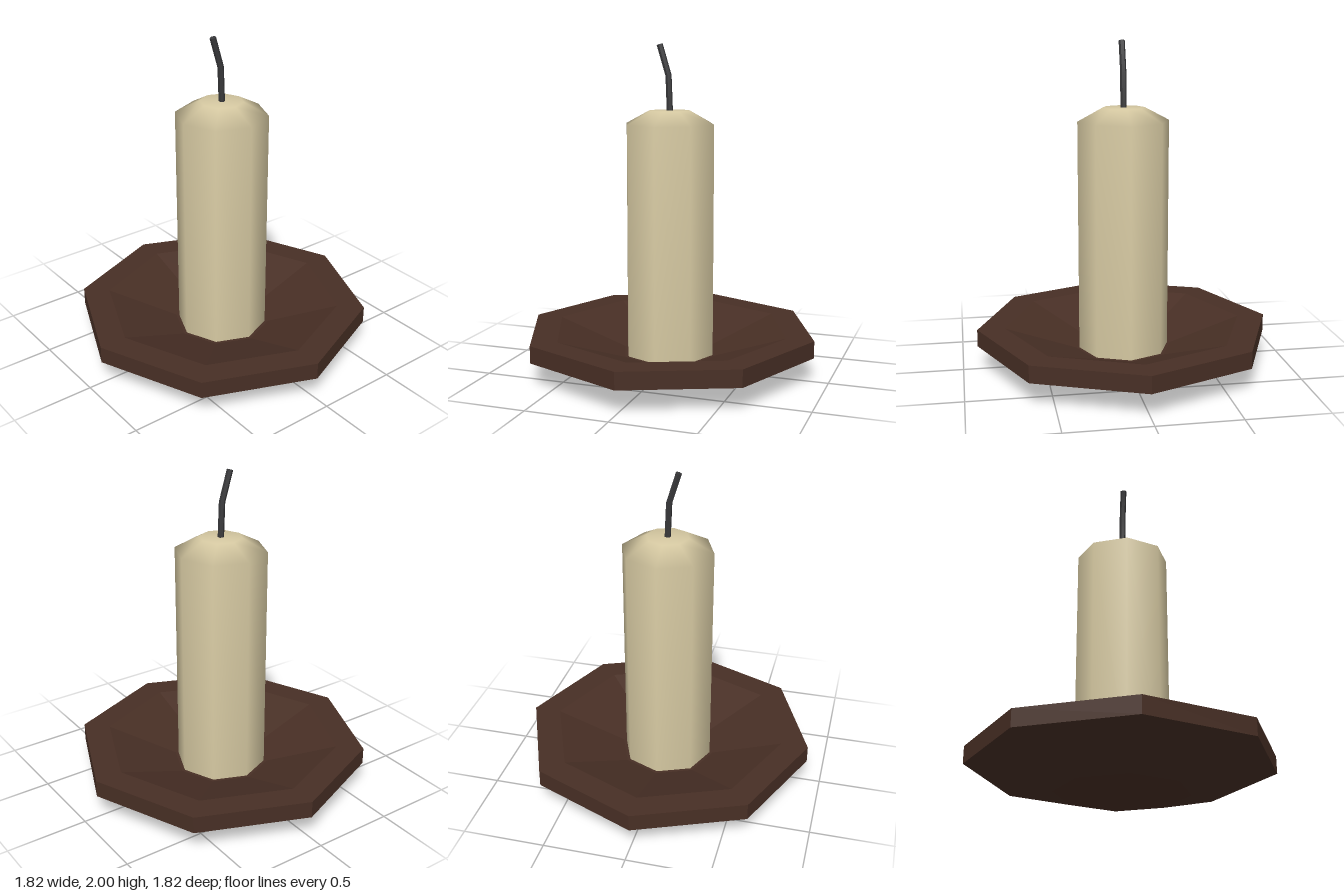
import * as THREE from 'three';
import { toCreasedNormals } from 'three/addons/utils/BufferGeometryUtils.js';

const SIDES = 8;
const wax = new THREE.MeshStandardMaterial({ name: 'cream wax', color: 0xd6c9a2 });
const wood = new THREE.MeshStandardMaterial({ name: 'dark wood', color: 0x482f25 });
const char = new THREE.MeshStandardMaterial({ name: 'charred wick', color: 0x39393b });

// Octagonal solid of revolution from [radius, height] pairs, bottom to top
function lathe(profile) {
  return new THREE.LatheGeometry(profile.map(([r, y]) => new THREE.Vector2(r, y)), SIDES);
}

function addPart(group, name, geometry, material) {
  const mesh = new THREE.Mesh(geometry, material);
  mesh.name = name;
  group.add(mesh);
}

// Six-sided wick: each ring of a cylinder is moved and tilted onto a bent path
function wickGeometry() {
  const radius = 0.019;
  const rings = [
    { x: 0.002, y: 1.56, tilt: 0.03 },
    { x: -0.008, y: 1.81, tilt: 0.16 },
    { x: -0.064, y: 1.994, tilt: 0.3 },
  ];
  const geometry = new THREE.CylinderGeometry(radius, radius, 2, 6, 2);
  const pos = geometry.attributes.position;
  for (let i = 0; i < pos.count; i++) {
    const ring = rings[Math.round(pos.getY(i) + 1)];
    const x = pos.getX(i);
    pos.setXY(i, ring.x + x * Math.cos(ring.tilt), ring.y + x * Math.sin(ring.tilt));
  }
  return toCreasedNormals(geometry, 0.5);
}

export function createModel() {
  const model = new THREE.Group();
  model.name = 'candleOnDish';

  // Faceted dish: tapered underside, upright rim and sunken basin
  const dish = lathe([
    [0, 0], [0.4, 0], [0.91, 0.145], [0.91, 0.25],
    [0.74, 0.25], [0.3, 0.1], [0, 0.1],
  ]).toNonIndexed();
  dish.computeVertexNormals();
  addPart(model, 'dish', dish, wood);

  // Smooth candle with a bevelled shoulder
  const candle = lathe([[0.28, 0.095], [0.28, 1.52], [0.13, 1.6], [0, 1.6]]);
  addPart(model, 'candle', candle, wax);

  addPart(model, 'wick', wickGeometry(), char);
  return model;
}
